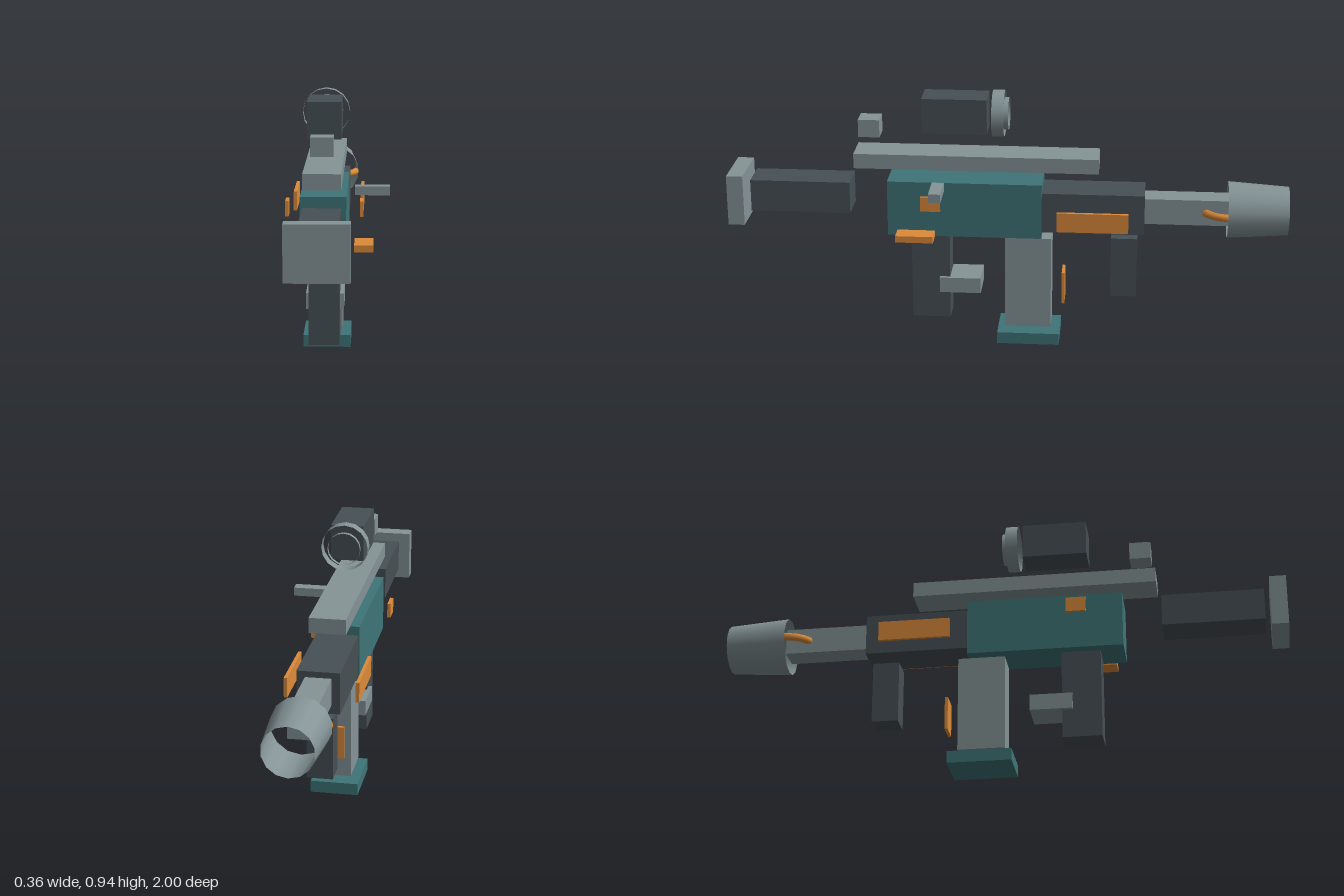
import * as THREE from 'three';

const mat = (color) => new THREE.MeshStandardMaterial({ color, side: THREE.DoubleSide });
const CX = -0.046; // centre line of the body
const BORE_Y = 0.517;

export function createModel() {
  const model = new THREE.Group();
  model.name = 'rifle';
  const grey = mat(0x859497), dark = mat(0x465055), teal = mat(0x3f7578), orange = mat(0xdd8b3a);

  const add = (name, geometry, material, x, y, z) => {
    const mesh = new THREE.Mesh(geometry, material);
    mesh.name = name;
    mesh.position.set(x, y, z);
    model.add(mesh);
    return mesh;
  };
  // Box on the centre line: width, then y and z ranges; optional x offset
  const box = (name, material, w, y0, y1, z0, z1, x = 0) =>
    add(name, new THREE.BoxGeometry(w, y1 - y0, z1 - z0), material, CX + x, (y0 + y1) / 2, (z0 + z1) / 2);
  // Open tube along z
  const tube = (name, material, rFront, rBack, z0, z1, y, sides) => {
    const g = new THREE.CylinderGeometry(rFront, rBack, z1 - z0, sides, 1, true).rotateX(Math.PI / 2);
    return add(name, g, material, CX, y, (z0 + z1) / 2);
  };

  // Shoulder stock
  box('buttPad', grey, 0.208, 0.446, 0.63, 0.941, 1);
  box('stock', dark, 0.128, 0.487, 0.603, 0.563, 0.922);

  // Body and barrel
  box('receiver', teal, 0.156, 0.414, 0.617, -0.126, 0.426);
  box('handguard', dark, 0.148, 0.438, 0.585, -0.491, -0.126);
  box('barrel', grey, 0.09, 0.47, 0.564, -0.79, -0.489);
  tube('muzzle', grey, 0.1015, 0.087, -1, -0.785, BORE_Y, 14);

  // Half ring behind the muzzle
  const ring = add('muzzleRing', new THREE.TorusGeometry(0.088, 0.014, 8, 20, Math.PI), orange, CX, BORE_Y, -0.785);
  ring.rotation.x = Math.PI / 2;

  // Top rail and sights
  box('topRail', grey, 0.128, 0.659, 0.713, -0.326, 0.546);
  box('rearSight', grey, 0.077, 0.768, 0.832, 0.454, 0.53);
  box('scopeBody', dark, 0.117, 0.794, 0.921, 0.07, 0.301);
  tube('scopeRing', grey, 0.083, 0.083, 0.01, 0.053, 0.857, 16);
  tube('scopeInnerRing', grey, 0.058, 0.058, -0.005, 0.012, 0.857, 16);

  // Grips and trigger
  box('rearGrip', dark, 0.105, 0.087, 0.408, 0.206, 0.344);
  box('triggerBlock', grey, 0.132, 0.19, 0.247, 0.094, 0.243);
  box('foreGrip', dark, 0.09, 0.187, 0.41, -0.468, -0.374);

  // Magazine
  box('magazine', grey, 0.11, 0.06, 0.405, -0.16, 0.006);
  box('magazineBase', teal, 0.17, 0.002, 0.045, -0.192, 0.033);
  box('magazinePlate', orange, 0.077, 0.148, 0.268, -0.209, -0.198);

  // Side plates, mirrored
  for (const s of [-1, 1]) {
    box('handguardPlate', orange, 0.012, 0.462, 0.533, -0.435, -0.182, s * 0.123);
    box('receiverPlate', orange, 0.012, 0.528, 0.581, 0.231, 0.301, s * 0.128);
  }

  // Controls on the left side
  box('chargingHandle', grey, 0.12, 0.596, 0.627, 0.219, 0.262, 0.164);
  box('selector', orange, 0.065, 0.421, 0.445, 0.254, 0.388, 0.136);

  return model;
}
